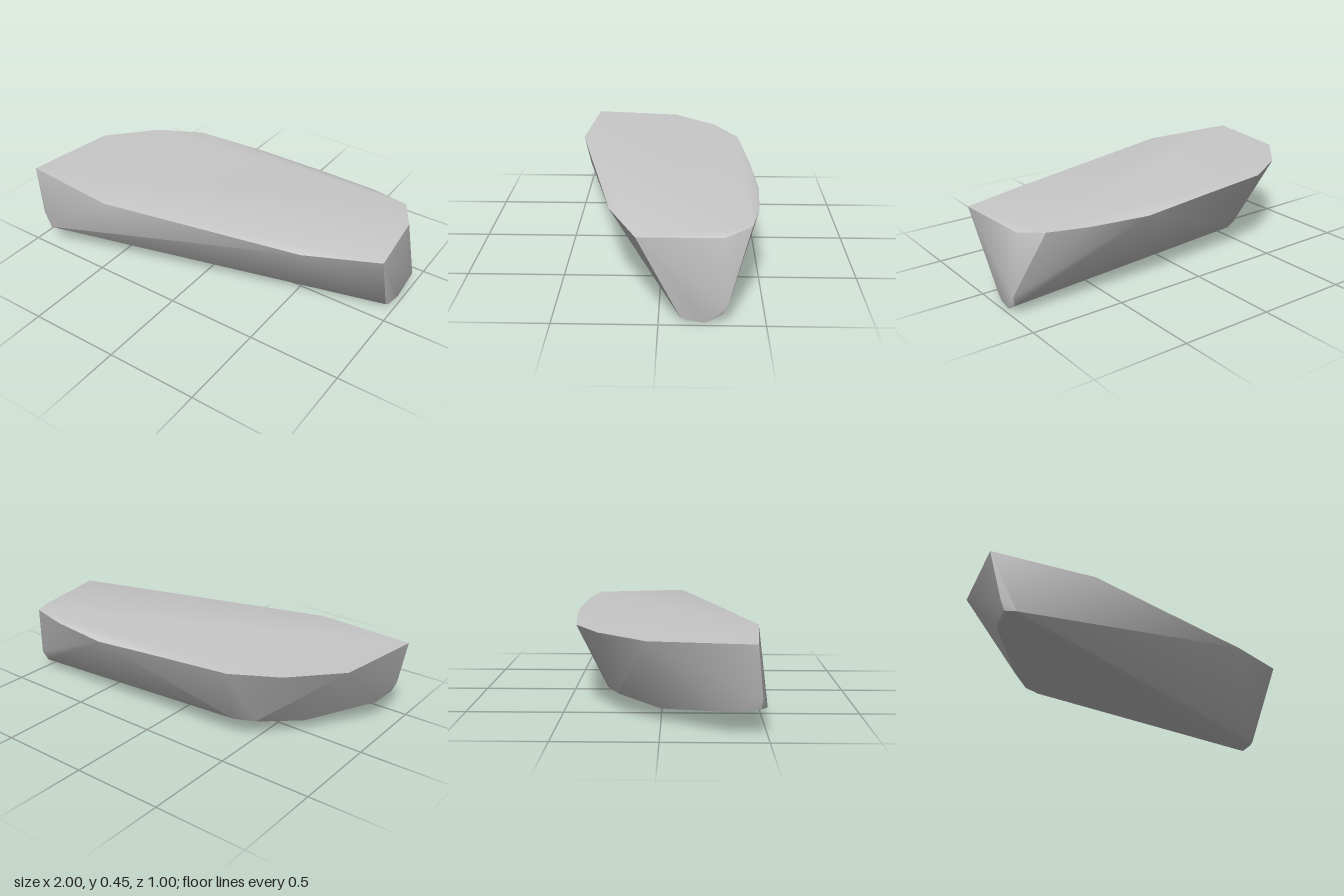
import * as THREE from 'three';
import { ConvexGeometry } from 'three/addons/geometries/ConvexGeometry.js';
import { toCreasedNormals } from 'three/addons/utils/BufferGeometryUtils.js';

export function createModel() {
  const group = new THREE.Group();
  const stone = new THREE.MeshStandardMaterial({ color: 0xc8c8c8 });
  stone.name = 'stone grey';

  // Rim of the nearly level top, clockwise from the front right corner
  const rim = [
    [-1, 0.45, 0.44], [-0.93, 0.45, -0.06], [-0.71, 0.45, -0.3], [-0.47, 0.447, -0.43],
    [-0.06, 0.438, -0.472], [0.33, 0.42, -0.5], [0.66, 0.433, -0.475], [0.87, 0.442, -0.43],
    [0.95, 0.42, -0.3], [0.998, 0.44, 0.1], [0.62, 0.422, 0.25], [-0.45, 0.447, 0.487],
  ];
  // Narrower underside, sloping down towards the left end
  const underside = [
    [-0.943, 0.19, 0.47], [-0.92, 0.135, 0.465], [-0.87, 0.13, 0.498], [-0.86, 0.121, 0.475],
    [-0.9, 0.115, 0.33], [-0.66, 0.066, 0], [-0.5, 0.1, -0.22], [-0.4, 0.11, -0.28],
    [1, 0.105, -0.32], [0.98, 0.05, -0.3], [0.975, 0, -0.22], [0.965, 0.007, -0.13], [0.96, 0.022, -0.1],
  ];

  // One chiselled slab, soft across shallow bends and sharp at the rim
  const points = [...rim, ...underside].map((p) => new THREE.Vector3(...p));
  const slab = new THREE.Mesh(toCreasedNormals(new ConvexGeometry(points), 0.8), stone);
  slab.name = 'rockSlab';
  group.add(slab);
  return group;
}
